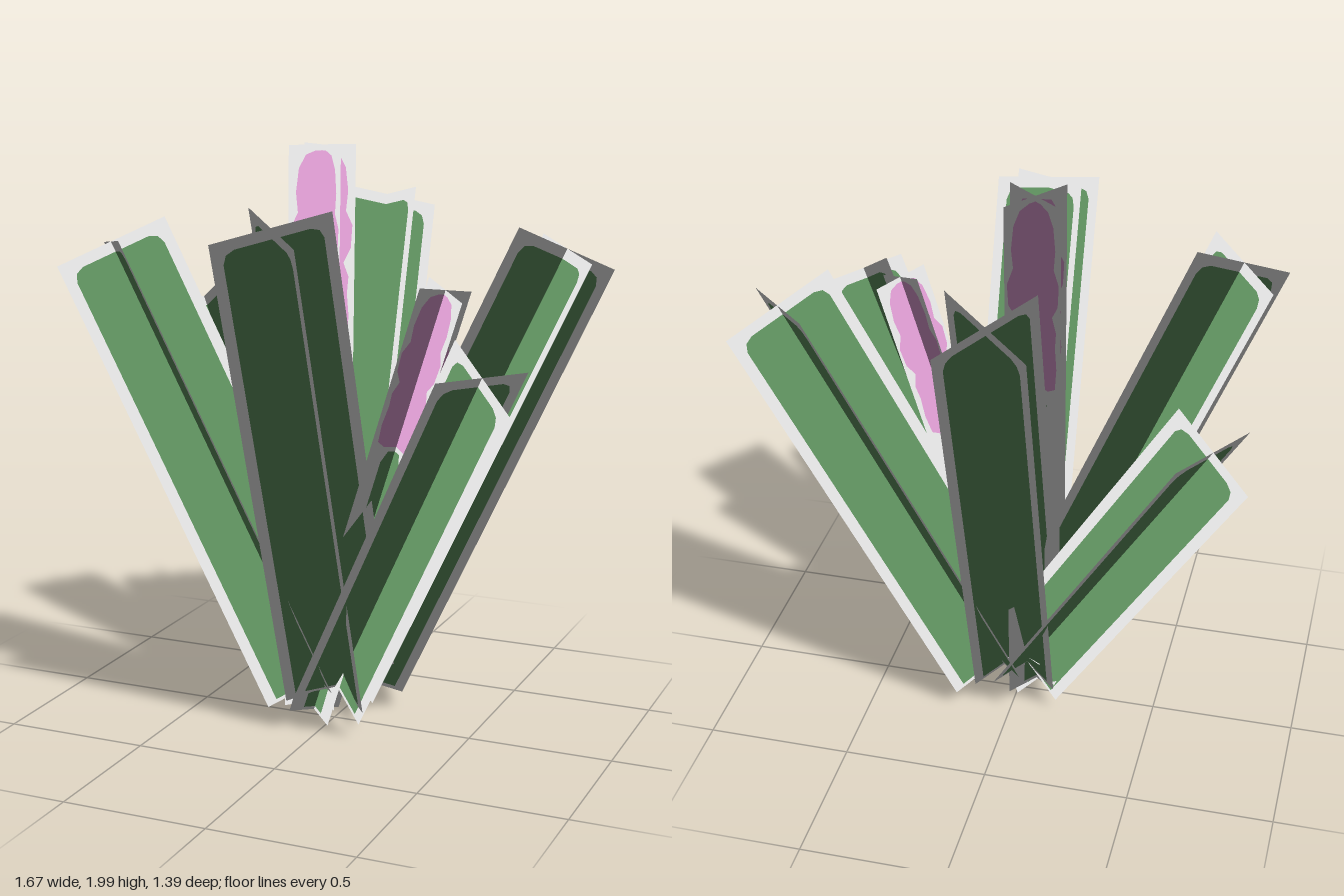
import * as THREE from 'three';

const mat = (name, color) => {
  const m = new THREE.MeshStandardMaterial({ color });
  m.name = name;
  return m;
};

// Thin card: a front and a back skin a hair apart, both shaded with upward normals
function cardGeometry(shape, matrix) {
  const flat = new THREE.ShapeGeometry(shape);
  const front = Array.from(flat.index.array);
  const count = flat.attributes.position.count;
  const points = [];
  for (const z of [0.001, -0.001])
    for (let i = 0; i < count; i++)
      points.push(flat.attributes.position.getX(i), flat.attributes.position.getY(i), z);
  const geo = new THREE.BufferGeometry();
  geo.setAttribute('position', new THREE.Float32BufferAttribute(points, 3));
  geo.setIndex(front.concat(front.map(i => i + count).reverse()));
  geo.applyMatrix4(matrix);
  const normals = points.map((_, i) => (i % 3 === 1 ? 1 : 0));
  geo.setAttribute('normal', new THREE.Float32BufferAttribute(normals, 3));
  return geo;
}

const rectangle = (w, length) => [[-w, 0], [w, 0], [w, length], [-w, length]];
const toShape = pts => new THREE.Shape(pts.map(p => new THREE.Vector2(p[0], p[1])));

// Long leaf blade with rounded upper corners
function bladeOutline(w, length) {
  const m = 0.037, r = 0.04, x = w - m, top = length - m;
  return [[-x, 0.012], [x, 0.012], [x, top - r], [x - r * 0.3, top - r * 0.3],
    [x - r, top], [r - x, top], [r * 0.3 - x, top - r * 0.3], [-x, top - r]];
}

// Lobed blossom, mirrored from a half profile of [width share, height share]
function blossomOutline(w, length) {
  const half = [[0.5, 0.648], [0.78, 0.66], [0.84, 0.7], [0.78, 0.74], [0.82, 0.77], [0.66, 0.795],
    [0.88, 0.82], [0.92, 0.86], [0.72, 0.885], [0.78, 0.92], [0.7, 0.96], [0.5, 0.983], [0.2, 0.99]];
  const right = half.map(([a, b]) => [a * w, b * length]);
  return right.concat(right.map(([a, b]) => [-a, b]).reverse());
}

// Flower stem with a rounded upper end
function stemOutline(w, length) {
  const x = w * 0.45, top = length * 0.638;
  return [[-x, 0.012], [x, 0.012], [x * 0.8, length * 0.3], [x, length * 0.5], [x, top - 0.04],
    [x * 0.6, top], [-x * 0.6, top], [-x, top - 0.04], [-x, length * 0.5], [-x * 0.8, length * 0.3]];
}

export function createModel() {
  const border = mat('pale border', 0xe7e7e7);
  const green = mat('leaf green', 0x5f925f);
  const pink = mat('blossom pink', 0xdf9dd3);
  const model = new THREE.Group();
  model.name = 'plant';

  // Two crossed cards around the axis from base to tip
  function crossedCards(name, base, tip, side, w, details) {
    const group = new THREE.Group();
    group.name = name;
    const start = new THREE.Vector3(...base);
    const axis = new THREE.Vector3(...tip).sub(start);
    const length = axis.length();
    axis.normalize();
    const first = new THREE.Vector3(...side);
    first.addScaledVector(axis, -first.dot(axis)).normalize();
    const second = new THREE.Vector3().crossVectors(first, axis);
    for (const [across, facing] of [[first, second], [second, first.clone().negate()]]) {
      const matrix = new THREE.Matrix4().makeBasis(across, axis, facing).setPosition(start);
      const frame = toShape(rectangle(w, length));
      const addPart = (part, shape, material) => {
        const mesh = new THREE.Mesh(cardGeometry(shape, matrix), material);
        mesh.name = part;
        group.add(mesh);
      };
      for (const [part, outline, material] of details) {
        const pts = outline(w, length);
        frame.holes.push(toShape(pts));
        addPart(part, toShape(pts), material);
      }
      addPart('border', frame, border);
    }
    model.add(group);
  }

  // Leaves fanning outwards: name, base, tip, side direction, half width
  const leaves = [
    ['frontLeaf', [0.04, 0.155, 0.04], [0.025, 1.79, 0.55], [0.145, 0.04, -0.135], 0.203],
    ['backLeaf', [0, 0.15, 0.005], [-0.03, 1.785, -0.547], [0.15, 0.04, 0.115], 0.2],
    ['frontRightLeaf', [-0.04, 0.15, 0.045], [-0.69, 1.68, 0.275], [0.12, 0.025, 0.16], 0.198],
    ['backLeftLeaf', [0.06, 0.15, -0.04], [0.705, 1.655, -0.325], [0.125, -0.035, 0.15], 0.198],
    ['frontLeftLeaf', [0.04, 0.15, 0.07], [0.703, 1.375, 0.527], [0.1, 0, -0.14], 0.17],
    ['backRightLeaf', [-0.04, 0.15, -0.03], [-0.715, 1.39, -0.445], [0.095, 0, -0.15], 0.172],
  ];
  for (const leaf of leaves) crossedCards(...leaf, [['blade', bladeOutline, green]]);

  // Flower spikes in the middle
  const flower = [['stem', stemOutline, green], ['blossom', blossomOutline, pink]];
  crossedCards('tallFlower', [-0.067, 0.06, 0], [-0.067, 1.995, -0.057], [0.1, 0, 0.078], 0.127, flower);
  crossedCards('shortFlower', [-0.067, 0.035, 0.025], [0.44, 1.565, 0.128], [0.055, -0.015, -0.08], 0.102, flower);

  return model;
}
